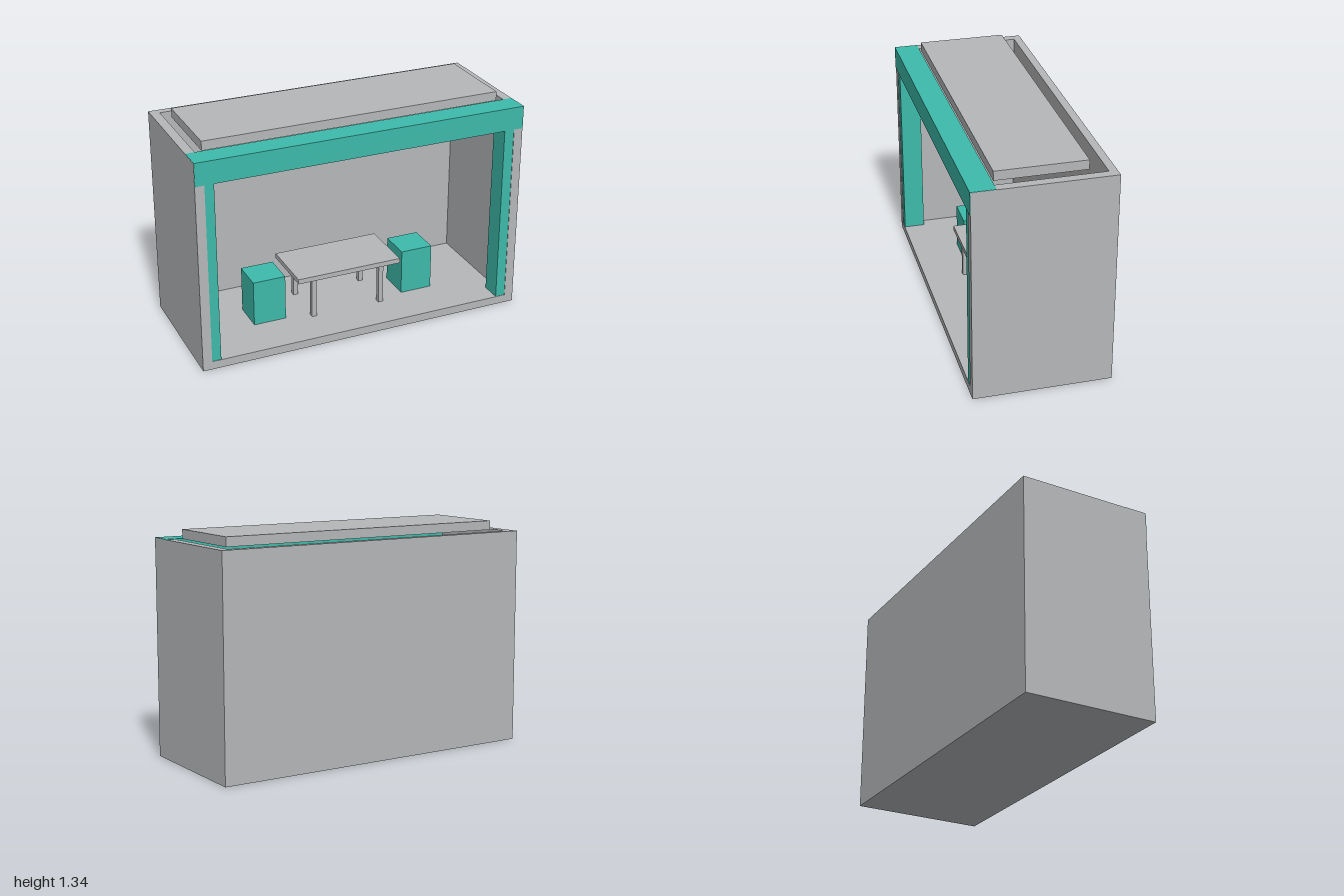
import * as THREE from 'three';

export function createModel() {
  const group = new THREE.Group();
  const grey = new THREE.MeshStandardMaterial({ color: 0xb6b7b9 });
  grey.name = 'grey panel';
  const teal = new THREE.MeshStandardMaterial({ color: 0x3dbaab });
  teal.name = 'teal trim';

  // Adds a box given its [min, max] range along each axis
  const addBox = (parent, name, material, x, y, z) => {
    const size = [x, y, z].map(([a, b]) => b - a);
    const mesh = new THREE.Mesh(new THREE.BoxGeometry(...size), material);
    mesh.position.set(...[x, y, z].map(([a, b]) => (a + b) / 2));
    mesh.name = name;
    parent.add(mesh);
  };

  // Open-fronted, open-topped shell
  const shell = new THREE.Group();
  shell.name = 'shell';
  addBox(shell, 'floor', grey, [-0.945, 0.945], [0, 0.05], [-0.355, 0.4]);
  addBox(shell, 'backWall', grey, [-0.945, 0.945], [0, 1.28], [-0.402, -0.355]);
  addBox(shell, 'rightWall', grey, [-1, -0.945], [0, 1.28], [-0.402, 0.4]);
  addBox(shell, 'leftWall', grey, [0.945, 1], [0, 1.28], [-0.402, 0.4]);

  // Floating roof panel above the opening
  addBox(shell, 'roofPanel', grey, [-0.905, 0.9], [1.28, 1.335], [-0.263, 0.255]);
  group.add(shell);

  // Header beam and front posts, the posts let into the side walls
  const frame = new THREE.Group();
  frame.name = 'frontFrame';
  addBox(frame, 'headerBeam', teal, [-0.999, 0.999], [1.145, 1.282], [0.262, 0.403]);
  addBox(frame, 'rightPost', teal, [-0.997, -0.89], [0.003, 1.2], [0.272, 0.397]);
  addBox(frame, 'leftPost', teal, [0.885, 0.997], [0.003, 1.2], [0.272, 0.397]);
  group.add(frame);

  // Table with four square legs
  const table = new THREE.Group();
  table.name = 'table';
  addBox(table, 'tableTop', grey, [-0.33, 0.327], [0.305, 0.335], [-0.167, 0.195]);
  for (const x of [-0.22, 0.216]) {
    for (const z of [-0.138, 0.152]) {
      addBox(table, 'tableLeg', grey, [x - 0.015, x + 0.015], [0.05, 0.305], [z - 0.015, z + 0.015]);
    }
  }
  group.add(table);

  // Block stools at either end of the table
  for (const x of [-0.483, 0.479]) {
    addBox(group, 'stool', teal, [x - 0.1, x + 0.1], [0.05, 0.33], [-0.085, 0.117]);
  }

  return group;
}
